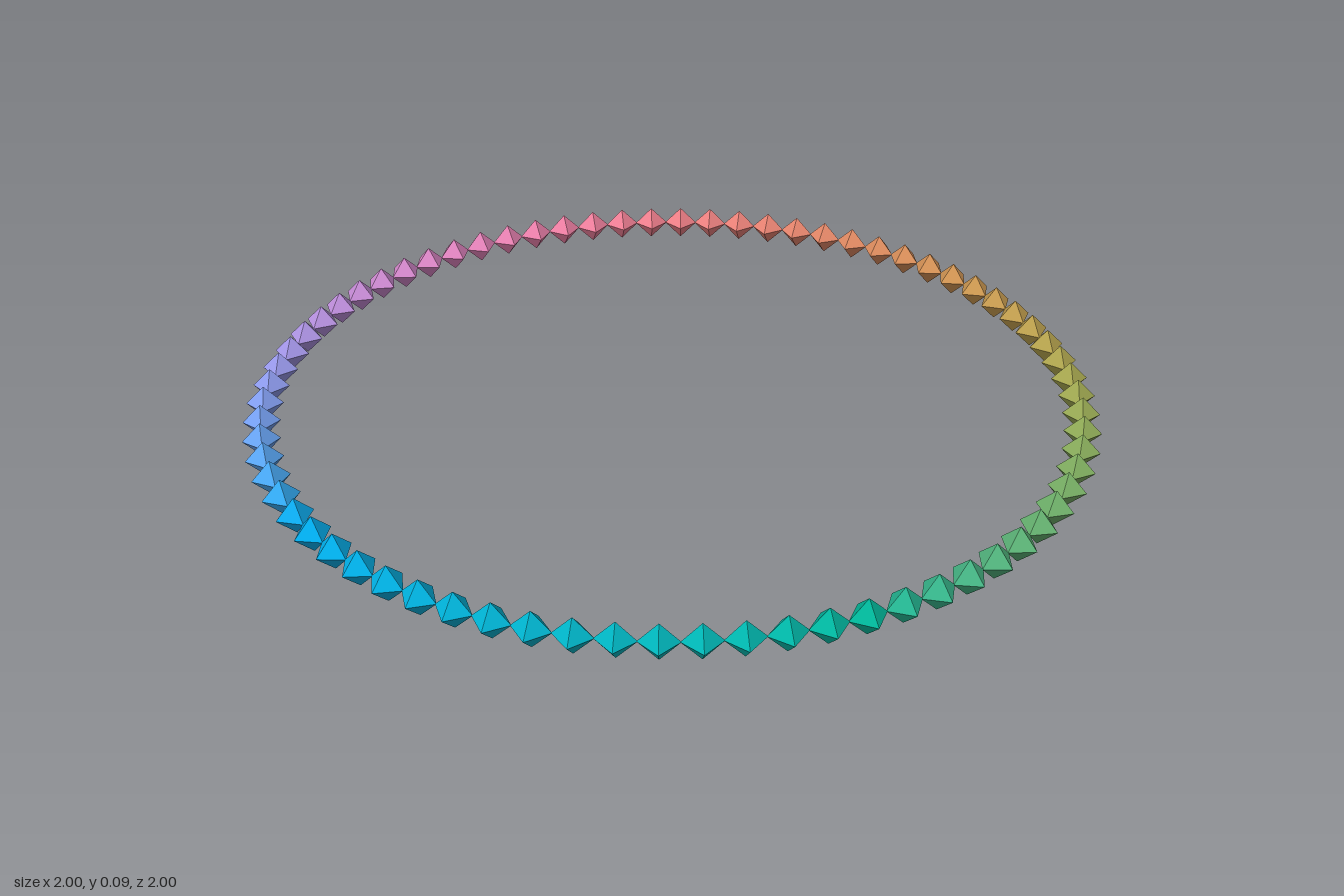
import * as THREE from 'three';

const COUNT = 72;            // beads around the ring
const BEAD_RADIUS = 0.0435;
const RING_RADIUS = 1 - BEAD_RADIUS;

// Colour from an even-lightness hue wheel (CIE LCh to linear RGB)
function wheelColor(hue, lightness = 66, chroma = 46) {
  const fy = (lightness + 16) / 116;
  const fx = fy + (chroma * Math.cos(hue)) / 500;
  const fz = fy - (chroma * Math.sin(hue)) / 200;
  const cube = (t) => (t > 6 / 29 ? t ** 3 : 3 * (6 / 29) ** 2 * (t - 4 / 29));
  const X = 0.9505 * cube(fx), Y = cube(fy), Z = 1.089 * cube(fz);
  const clamp = (v) => THREE.MathUtils.clamp(v, 0, 1);
  return new THREE.Color(
    clamp(3.2406 * X - 1.5372 * Y - 0.4986 * Z),
    clamp(-0.9689 * X + 1.8758 * Y + 0.0415 * Z),
    clamp(0.0557 * X - 0.204 * Y + 1.057 * Z)
  );
}

export function createModel() {
  const ring = new THREE.Group();
  ring.name = 'beadRing';
  const beadGeometry = new THREE.OctahedronGeometry(BEAD_RADIUS);

  // Octahedral beads, tip to tip, each turned to follow the ring
  for (let i = 0; i < COUNT; i++) {
    const angle = (i / COUNT) * Math.PI * 2; // from the back, through +x, to the front
    const material = new THREE.MeshStandardMaterial({ color: wheelColor(angle), flatShading: true });
    const bead = new THREE.Mesh(beadGeometry, material);
    bead.name = `bead${i + 1}`;
    bead.position.set(RING_RADIUS * Math.sin(angle), BEAD_RADIUS, -RING_RADIUS * Math.cos(angle));
    bead.rotation.y = -angle;
    ring.add(bead);
  }
  return ring;
}
